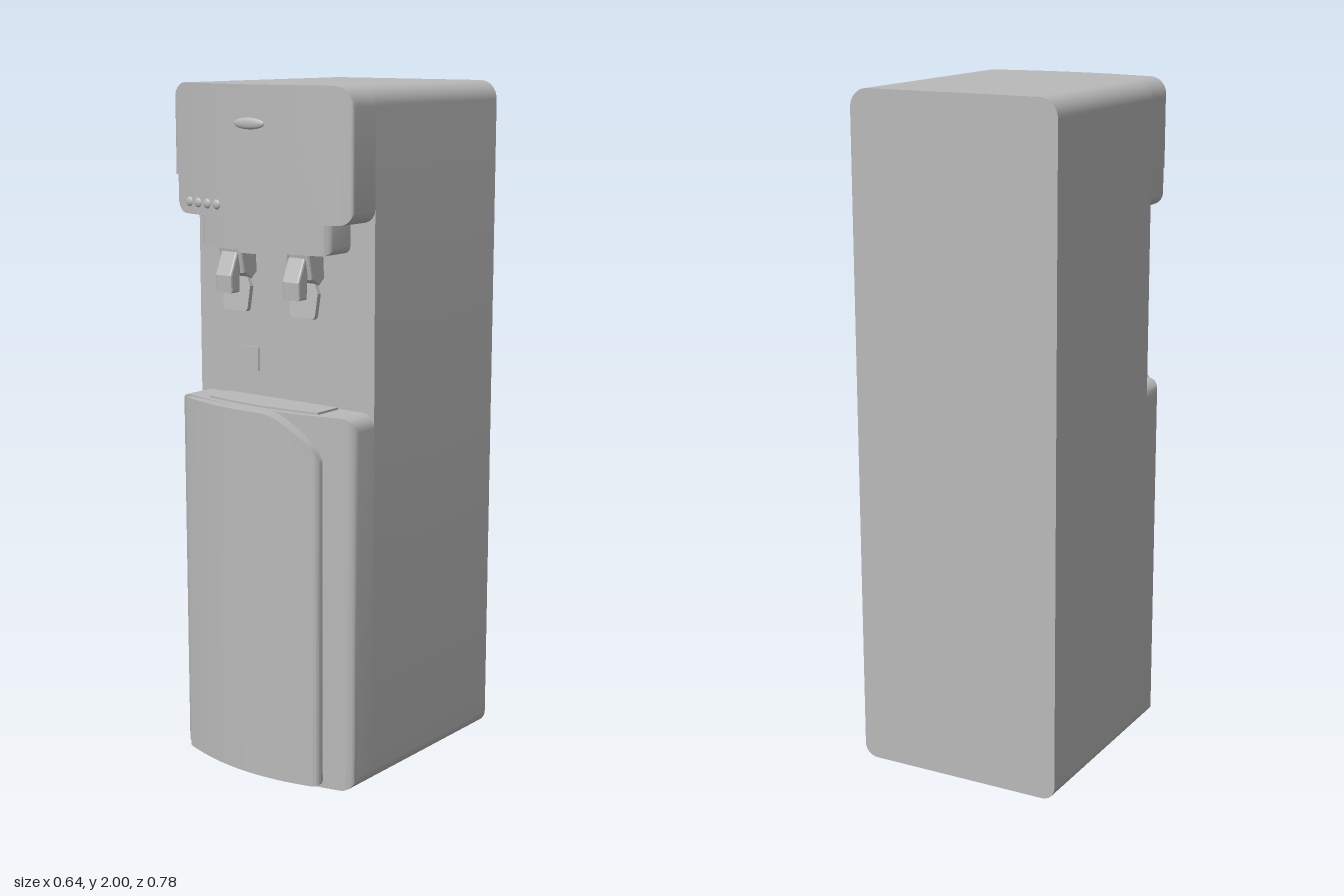
import * as THREE from 'three';
import { toCreasedNormals } from 'three/addons/utils/BufferGeometryUtils.js';

const grey = new THREE.MeshStandardMaterial({ color: 0xb9b9b9 });
grey.name = 'light grey plastic';

// Inset of a rounded corner of radius r at distance d from the edge
const corner = (d, r) => (d >= r ? 0 : r - Math.sqrt(Math.max(0, r * r - (r - d) * (r - d))));
// Bowed front shared by head and cabinet
const bow = (x) => 0.355 - 0.49 * x * x;

// Closed block swept along x; each side is a function of x
function block(x0, x1, bottom, top, back, front, steps = 48) {
  const pos = [];
  const quad = (a, b, c, d) => [a, b, c, a, c, d].forEach((p) => pos.push(...p));
  const section = (i) => {
    const x = (x0 + x1) / 2 + ((x1 - x0) / 2) * Math.sin((i / steps - 0.5) * Math.PI);
    const [b, t, k, f] = [bottom(x), top(x), back(x), front(x)];
    return [[x, b, f], [x, t, f], [x, t, k], [x, b, k]];
  };
  const first = section(0);
  const last = section(steps);
  quad(first[3], first[0], first[1], first[2]);
  quad(last[0], last[3], last[2], last[1]);
  for (let i = 0; i < steps; i++) {
    const p = section(i);
    const q = section(i + 1);
    for (let j = 0; j < 4; j++) {
      const n = (j + 1) % 4;
      quad(p[j], q[j], q[n], p[n]);
    }
  }
  const geo = new THREE.BufferGeometry();
  geo.setAttribute('position', new THREE.Float32BufferAttribute(pos, 3));
  return toCreasedNormals(geo, 0.6);
}

// Side profile given as [z, y] points, extruded across x
function sideExtrude(points, width, bevel = 0.006) {
  const shape = new THREE.Shape(points.map(([z, y]) => new THREE.Vector2(-z, y)));
  const geo = new THREE.ExtrudeGeometry(shape, {
    depth: width - 2 * bevel, bevelThickness: bevel, bevelSize: bevel, bevelOffset: -bevel, bevelSegments: 2,
  });
  return geo.translate(0, 0, -width / 2 + bevel).rotateY(Math.PI / 2);
}

export function createModel() {
  const model = new THREE.Group();
  model.name = 'waterDispenser';
  const add = (name, geo, parent = model) => {
    const mesh = new THREE.Mesh(geo, grey);
    mesh.name = name;
    parent.add(mesh);
    return mesh;
  };
  const W = 0.32;
  const edge = (x) => W - Math.abs(x);
  const flat = (v) => () => v;

  // Tall rear body, whose front is the wall of the tap recess
  add('body', block(-W, W, (x) => 0.005 + corner(edge(x), 0.04), (x) => 2 - corner(edge(x), 0.055), flat(-0.39), flat(0.205)));

  // Lower cabinet
  add('cabinet', block(-W, W, (x) => 0.005 + corner(edge(x), 0.04), (x) => 1.1 - corner(edge(x), 0.04),
    flat(0.205), (x) => bow(x) - 0.01 - corner(edge(x), 0.02)));

  // Head and its raised cover with a swooping lower edge
  const headTop = (x) => 2 - corner(edge(x), 0.055);
  const headBottom = (x) => 1.63 + corner(edge(x), 0.04);
  const swoosh = (x) => 1.63 + 0.11 * (1 - THREE.MathUtils.smoothstep(x, -0.17, 0.09));
  add('head', block(-W, W, headBottom, headTop, flat(0.205), (x) => bow(x) - 0.012));
  add('headCover', block(-W, W, (x) => Math.max(swoosh(x), headBottom(x)), headTop,
    (x) => bow(x) - 0.012, (x) => bow(x) - corner(edge(x), 0.008)));

  // Bowed door with a cut upper corner
  const doorTop = (x) => {
    const t = THREE.MathUtils.clamp((x - 0.07) / 0.16, 0, 1);
    return 1.1 - corner(x + 0.275, 0.025) - 0.095 * Math.pow(t, 1.4) - corner(0.235 - x, 0.035);
  };
  add('door', block(-0.275, 0.235,
    (x) => 0.018 + corner(x + 0.275, 0.015) + corner(0.235 - x, 0.015), doorTop,
    (x) => 0.352 - 0.3 * x * x - 0.006,
    (x) => 0.39 - 0.72 * x * x - corner(Math.min(x + 0.275, 0.235 - x), 0.014)));

  // Drip tray set on the ledge
  add('dripTray', block(-0.2, 0.2, flat(1.09), flat(1.106), flat(0.215), (x) => 0.325 - 0.5 * x * x, 24));

  // Tap shelf under the head
  const shelfEdge = (x) => 0.235 - Math.abs(x);
  add('tapShelf', block(-0.235, 0.235, (x) => 1.542 + corner(shelfEdge(x), 0.02), flat(1.635),
    flat(0.2), (x) => 0.333 - 0.6 * x * x - corner(shelfEdge(x), 0.025)));
  add('shelfUnderside', block(-0.09, 0.09, flat(1.53), flat(1.545), flat(0.22), flat(0.3), 8));

  // Two taps, each with a neck, a spout and a hanging lever
  for (const [name, x] of [['rightTap', -0.125], ['leftTap', 0.12]]) {
    const tap = new THREE.Group();
    tap.name = name;
    tap.position.x = x;
    model.add(tap);
    add('tapNeck', sideExtrude([[0.23, 1.55], [0.225, 1.47], [0.25, 1.45], [0.285, 1.47], [0.3, 1.55]], 0.084), tap);
    add('tapSpout', sideExtrude([[0.265, 1.53], [0.255, 1.46], [0.285, 1.475], [0.288, 1.415], [0.325, 1.415],
      [0.328, 1.465], [0.3, 1.53]], 0.06), tap);
    const s = new THREE.Shape();
    s.moveTo(-0.035, 1.46).lineTo(-0.05, 1.43).lineTo(-0.046, 1.37);
    s.quadraticCurveTo(-0.045, 1.358, -0.035, 1.358).lineTo(0.035, 1.358);
    s.quadraticCurveTo(0.045, 1.358, 0.046, 1.37).lineTo(0.05, 1.43).lineTo(0.035, 1.46);
    const lever = new THREE.ExtrudeGeometry(s, { depth: 0.014, bevelEnabled: false });
    lever.translate(0, -1.46, 0).rotateX(-0.12).translate(0, 1.46, 0.25);
    add('tapLever', lever, tap);
  }

  // Row of control buttons on the lower strip of the head
  for (let i = 0; i < 4; i++) {
    const x = -0.262 + i * 0.041;
    const button = add('button', new THREE.SphereGeometry(0.014, 16, 10));
    button.scale.z = 0.5;
    button.position.set(x, 1.665, bow(x) - 0.012);
  }

  // Plain oval badge
  const badge = add('badge', new THREE.SphereGeometry(1, 24, 12));
  badge.scale.set(0.055, 0.016, 0.008);
  badge.position.set(0, 1.895, 0.355);

  // Small cover plate on the recess wall
  add('wallPlate', new THREE.BoxGeometry(0.07, 0.07, 0.008)).position.set(-0.13, 1.21, 0.206);

  // Low feet
  for (const x of [-0.24, 0.24]) for (const z of [-0.32, 0.24]) {
    add('foot', new THREE.CylinderGeometry(0.025, 0.025, 0.012, 20)).position.set(x, 0.006, z);
  }
  return model;
}
